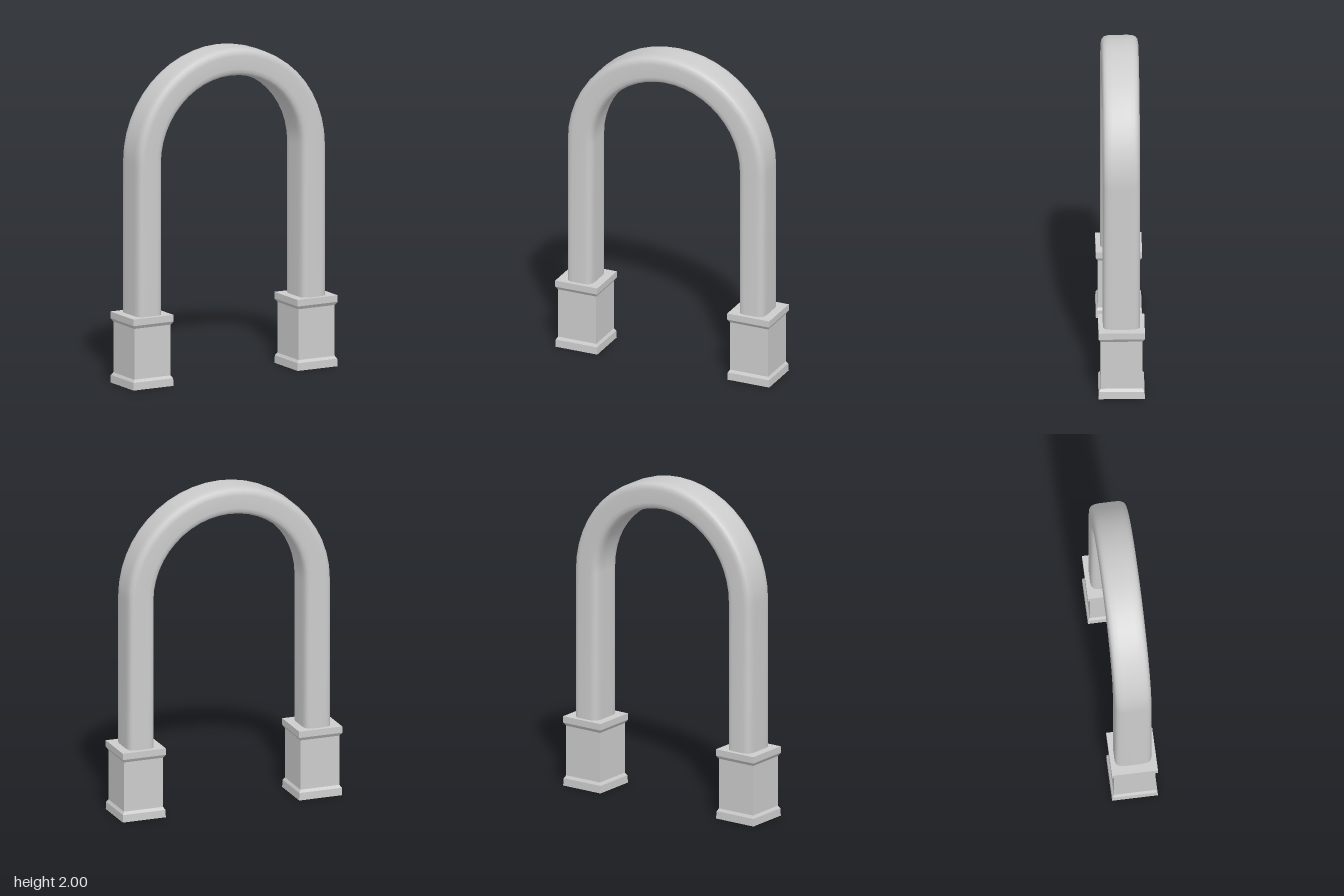
import * as THREE from 'three';

const LEG_X = 0.565, PLINTH_TOP = 0.432, SPRING_Y = 1.35;

// Rounded-rectangle section of the tube: u points outward from the arch, v runs along z
function tubeSection(halfU, halfV, count, power) {
  const soften = (c, half) => Math.sign(c) * half * Math.pow(Math.abs(c), 2 / power);
  return Array.from({ length: count }, (_, i) => {
    const a = ((i + 0.5) / count) * Math.PI * 2;
    return [soften(Math.cos(a), halfU), soften(Math.sin(a), halfV)];
  });
}

// Sweep the section up one leg, around the half circle and down the other leg
function archGeometry() {
  const section = tubeSection(0.0855, 0.1115, 20, 4.8);
  const arcSteps = 24;
  const stations = [[-LEG_X, PLINTH_TOP - 0.01, Math.PI]];
  for (let i = 0; i <= arcSteps; i++) {
    const a = Math.PI * (1 - i / arcSteps);
    stations.push([LEG_X * Math.cos(a), SPRING_Y + LEG_X * Math.sin(a), a]);
  }
  stations.push([LEG_X, PLINTH_TOP - 0.01, 0]);

  const positions = [], indices = [], n = section.length;
  stations.forEach(([x, y, a], i) => {
    section.forEach(([u, v], j) => {
      positions.push(x + Math.cos(a) * u, y + Math.sin(a) * u, v);
      if (i === stations.length - 1) return;
      const p = i * n + j, q = i * n + ((j + 1) % n);
      indices.push(p, q, q + n, p, q + n, p + n);
    });
  });
  const geometry = new THREE.BufferGeometry();
  geometry.setAttribute('position', new THREE.Float32BufferAttribute(positions, 3));
  geometry.setIndex(indices);
  geometry.computeVertexNormals();
  return geometry;
}

// Square plinth with a flared foot and cap, turned as a four-sided lathe
function plinthGeometry() {
  const profile = [
    [0, 0], [0.138, 0], [0.136, 0.046], [0.125, 0.063],
    [0.125, 0.372], [0.138, 0.392], [0.138, PLINTH_TOP], [0, PLINTH_TOP],
  ].map(([half, y]) => new THREE.Vector2(half * Math.SQRT2, y));
  const geometry = new THREE.LatheGeometry(profile, 4, Math.PI / 4).toNonIndexed();
  geometry.computeVertexNormals();
  return geometry;
}

export function createModel() {
  const group = new THREE.Group();
  group.name = 'archway';
  const stone = new THREE.MeshStandardMaterial({ color: 0xcccccc });
  stone.name = 'light grey';

  const arch = new THREE.Mesh(archGeometry(), stone);
  arch.name = 'arch';
  group.add(arch);

  const plinth = plinthGeometry();
  for (const side of [-1, 1]) {
    const mesh = new THREE.Mesh(plinth, stone);
    mesh.name = side > 0 ? 'leftPlinth' : 'rightPlinth';
    mesh.position.x = side * LEG_X;
    group.add(mesh);
  }
  return group;
}
